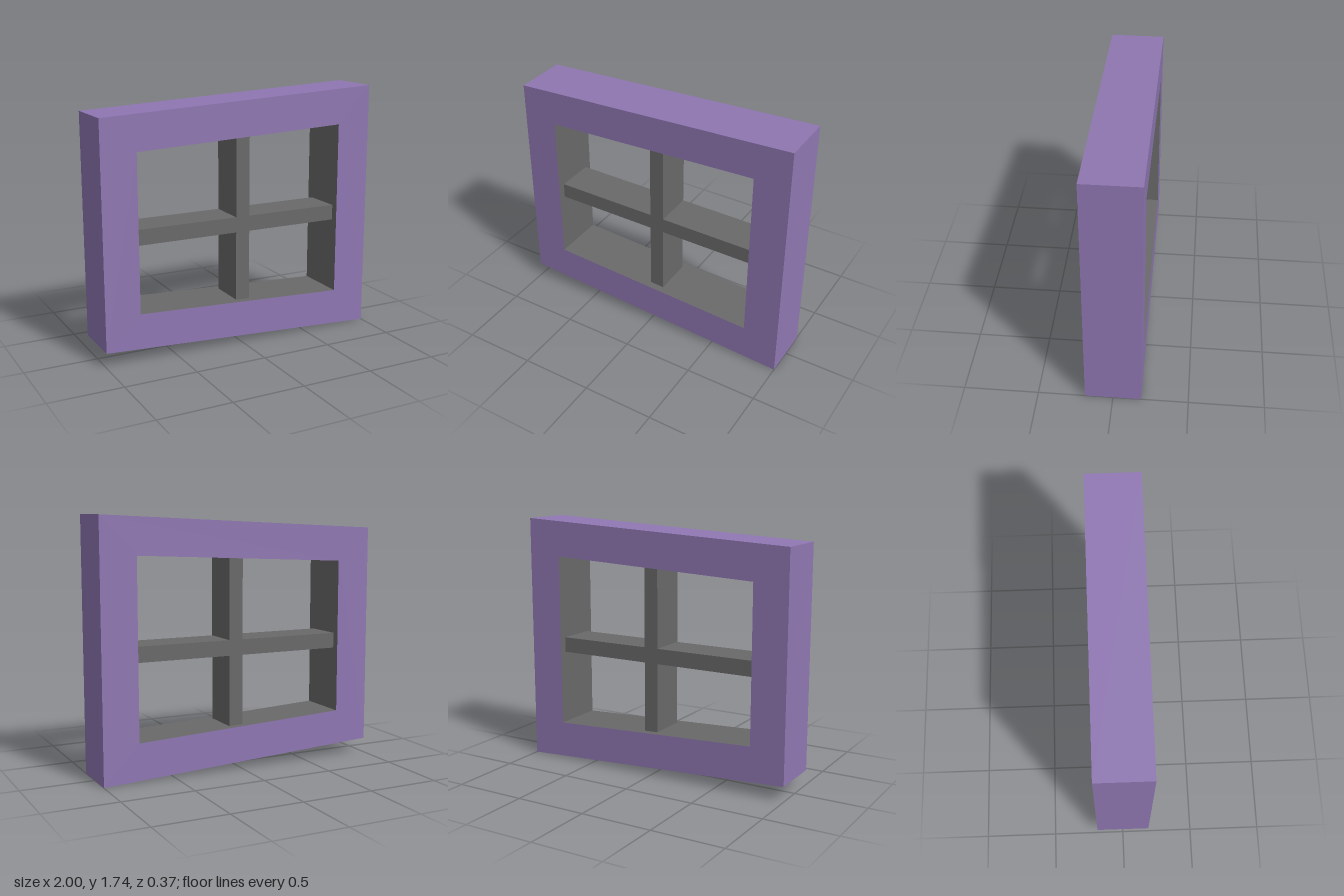
import * as THREE from 'three';

const purple = new THREE.MeshStandardMaterial({ name: 'framePurple', color: 0x8f77b2 });
const grey = new THREE.MeshStandardMaterial({ name: 'barGrey', color: 0x696969 });

const points = (list) => list.map(([x, y]) => new THREE.Vector2(x, y));

// Extrude a shape so that its depth is centred on z = 0
function slab(shape, depth) {
  const geometry = new THREE.ExtrudeGeometry(shape, { depth, bevelEnabled: false });
  geometry.translate(0, 0, -depth / 2);
  return geometry;
}

export function createModel() {
  const model = new THREE.Group();
  model.name = 'window';

  // Skewed frame: purple outside, grey reveal around the opening
  const opening = [[-0.757, 0.335], [-0.757, 1.41], [0.753, 1.48], [0.753, 0.265]];
  const outline = new THREE.Shape(points([[-1, 0.105], [1, 0], [1, 1.74], [-1, 1.64]]));
  outline.holes.push(new THREE.Path(points(opening)));
  const frameGeometry = slab(outline, 0.374);
  const total = frameGeometry.attributes.position.count;
  const revealCount = opening.length * 6; // two triangles per inner side, stored last
  frameGeometry.clearGroups();
  frameGeometry.addGroup(0, total - revealCount, 0);
  frameGeometry.addGroup(total - revealCount, revealCount, 1);
  const frame = new THREE.Mesh(frameGeometry, [purple, grey]);
  frame.name = 'frame';
  model.add(frame);

  // Cross bars, cut to follow the sloping edges of the opening
  const [left, right] = [-0.757, 0.753];
  const [barL, barR, barB, barT] = [-0.025, 0.076, 0.785, 0.892];
  const along = (x, a, b) => a + (b - a) * (x - left) / (right - left);
  const sill = (x) => along(x, 0.335, 0.265);
  const head = (x) => along(x, 1.41, 1.48);
  const cross = new THREE.Shape(points([
    [barL, sill(barL)], [barR, sill(barR)], [barR, barB], [right, barB],
    [right, barT], [barR, barT], [barR, head(barR)], [barL, head(barL)],
    [barL, barT], [left, barT], [left, barB], [barL, barB],
  ]));
  const bars = new THREE.Mesh(slab(cross, 0.27), grey);
  bars.name = 'crossBars';
  model.add(bars);

  return model;
}
